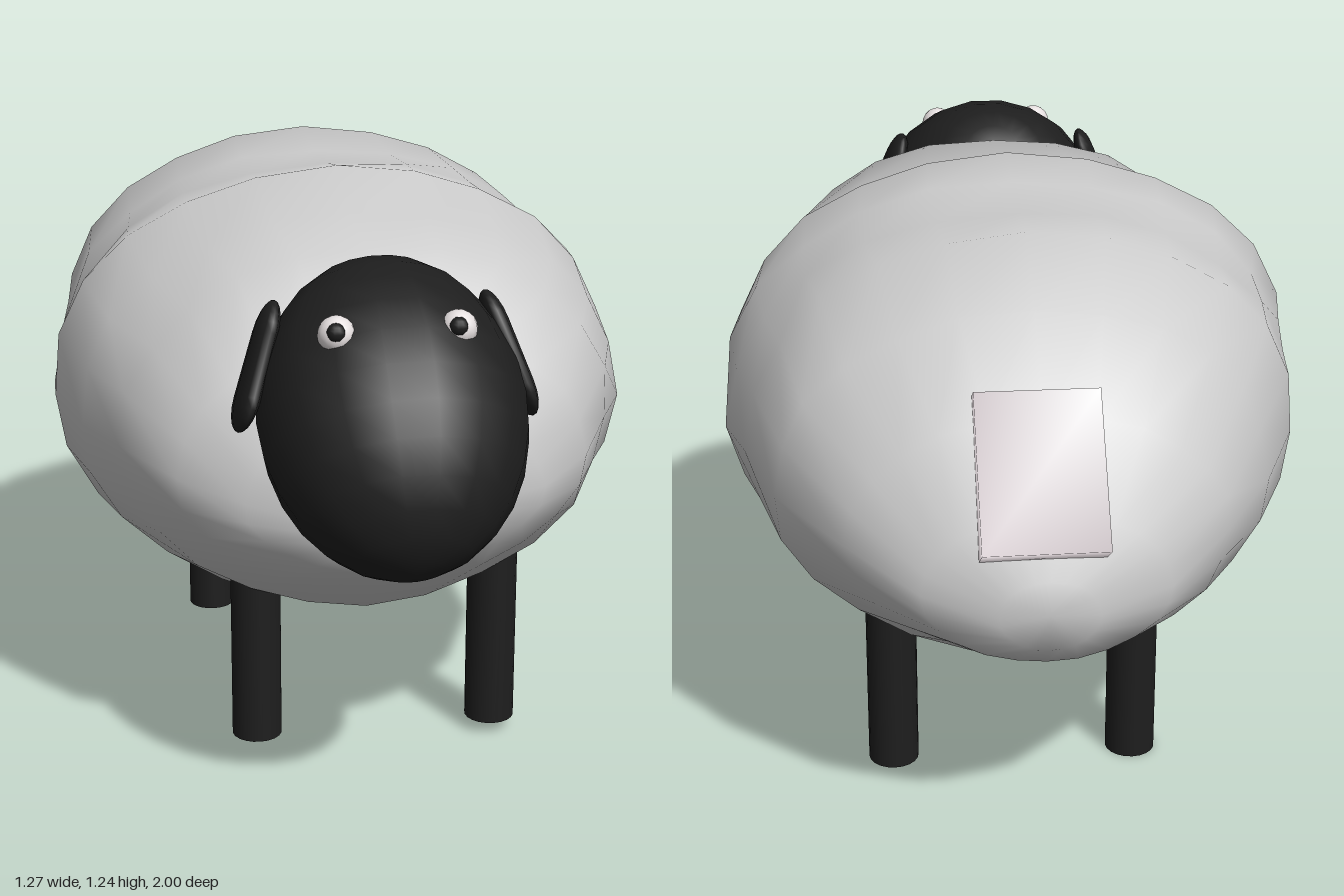
import * as THREE from 'three';
import { mergeVertices } from 'three/addons/utils/BufferGeometryUtils.js';

const paint = (color) => new THREE.MeshStandardMaterial({ color });

// Fleece: lumpy oval rings from chest to rump
// each row: z, reach to -x, reach to +x, bottom y, top y
const RINGS = [
  [0.66, 0.14, 0.17, 0.56, 0.76],
  [0.63, 0.29, 0.34, 0.51, 0.85],
  [0.55, 0.42, 0.45, 0.44, 0.99],
  [0.42, 0.52, 0.53, 0.345, 1.15],
  [0.2, 0.59, 0.615, 0.27, 1.17],
  [0.05, 0.64, 0.62, 0.25, 1.235],
  [-0.08, 0.62, 0.635, 0.245, 1.215],
  [-0.25, 0.6, 0.625, 0.26, 1.205],
  [-0.42, 0.58, 0.585, 0.285, 1.22],
  [-0.62, 0.49, 0.53, 0.35, 1.13],
  [-0.8, 0.38, 0.39, 0.45, 0.98],
  [-0.9, 0.25, 0.25, 0.49, 0.81],
  [-0.96, 0.1, 0.1, 0.55, 0.7],
];

function fleeceGeometry(sides = 24) {
  const pos = [], index = [];
  const power = (v, e) => Math.sign(v) * Math.abs(v) ** e;
  RINGS.forEach(([z, left, right, bottom, top], i) => {
    for (let j = 0; j < sides; j++) {
      const a = (j / sides) * Math.PI * 2;
      // full shoulders above, tapering slightly towards the belly
      const e = Math.sin(a) < 0 ? 1.03 : 0.93;
      const c = power(Math.cos(a), e), s = power(Math.sin(a), e);
      // gentle lumps, fading towards the smooth belly
      const wave = Math.sin(a * 5 + z * 6) * Math.cos(z * 9 + a * 2);
      const lump = 1 + 0.025 * wave * (1 - Math.abs(s)) + 0.008 * Math.sin(a * 7 + i * 1.9);
      const mid = (bottom + top) / 2;
      pos.push(c * (c < 0 ? left : right) * lump, mid + (s * (top - bottom) / 2) * lump, z);
    }
  });
  const last = RINGS.length - 1;
  const front = pos.length / 3, back = front + 1;
  pos.push(0.01, 0.66, 0.67, 0, 0.63, -0.965);
  for (let j = 0; j < sides; j++) {
    const k = (j + 1) % sides;
    for (let i = 0; i < last; i++) {
      const a = i * sides + j, b = a + sides, c = i * sides + k, d = c + sides;
      index.push(a, b, c, b, d, c);
    }
    index.push(front, j, k, back, last * sides + k, last * sides + j);
  }
  const g = new THREE.BufferGeometry();
  g.setAttribute('position', new THREE.Float32BufferAttribute(pos, 3));
  g.setIndex(index);
  g.computeVertexNormals();
  return g;
}

// Rounded ear flap, wider at its lower end
function earGeometry() {
  const g = new THREE.CapsuleGeometry(0.07, 0.135, 5, 12);
  const p = g.attributes.position;
  for (let i = 0; i < p.count; i++) {
    p.setX(i, p.getX(i) * 0.34);
    p.setZ(i, p.getZ(i) * (1 - 1.4 * p.getY(i)));
  }
  g.computeVertexNormals();
  return g;
}

// Soft wedge, thicker at its lower end
function tailGeometry() {
  const box = new THREE.BoxGeometry(0.25, 0.325, 0.13);
  const p = box.attributes.position;
  for (let i = 0; i < p.count; i++) if (p.getY(i) > 0) p.setZ(i, p.getZ(i) * 0.4);
  box.deleteAttribute('normal');
  box.deleteAttribute('uv');
  const g = mergeVertices(box);
  g.computeVertexNormals();
  return g;
}

export function createModel() {
  const model = new THREE.Group();
  model.name = 'sheep';
  const wool = paint(0xcccccc), black = paint(0x1e1e1e);
  const white = paint(0xe6e0e0), tailColor = paint(0xe6dce0);

  const add = (name, geometry, material, x, y, z) => {
    const mesh = new THREE.Mesh(geometry, material);
    mesh.name = name;
    mesh.position.set(x, y, z);
    model.add(mesh);
    return mesh;
  };

  add('fleece', fleeceGeometry(), wool, 0, 0, 0);

  // Head: egg leaning forward and down
  const head = add('head', new THREE.SphereGeometry(1, 18, 14), black, -0.003, 0.88, 0.705);
  head.scale.set(0.275, 0.345, 0.241);
  head.rotation.x = -Math.PI / 4;

  // Ears: flat flaps hanging outwards
  for (const [name, side, x] of [['rightEar', -1, -0.268], ['leftEar', 1, 0.248]]) {
    const ear = add(name, earGeometry(), black, x, 0.98, 0.642);
    const axis = new THREE.Vector3(-side * 0.09, 0.25, -0.09).normalize();
    ear.quaternion.setFromUnitVectors(new THREE.Vector3(0, 1, 0), axis);
  }

  // Eyes with dark pupils
  for (const [name, x] of [['right', -0.13], ['left', 0.112]]) {
    add(name + 'Eye', new THREE.SphereGeometry(0.038, 14, 10), white, x, 1.08, 0.778);
    add(name + 'Pupil', new THREE.SphereGeometry(0.019, 10, 8), black, x - 0.005, 1.092, 0.803);
  }

  // Legs: plain posts, the front pair slightly shorter
  for (const [name, z, foot] of [['front', 0.36, 0.03], ['back', -0.445, 0]]) {
    for (const [side, x] of [['Right', -0.235], ['Left', 0.295]]) {
      const height = 0.55 - foot;
      add(name + side + 'Leg', new THREE.CylinderGeometry(0.055, 0.055, height, 20),
        black, x, foot + height / 2, z);
    }
  }

  add('tail', tailGeometry(), tailColor, 0.012, 0.885, -0.86).rotation.x = 0.59;

  return model;
}
